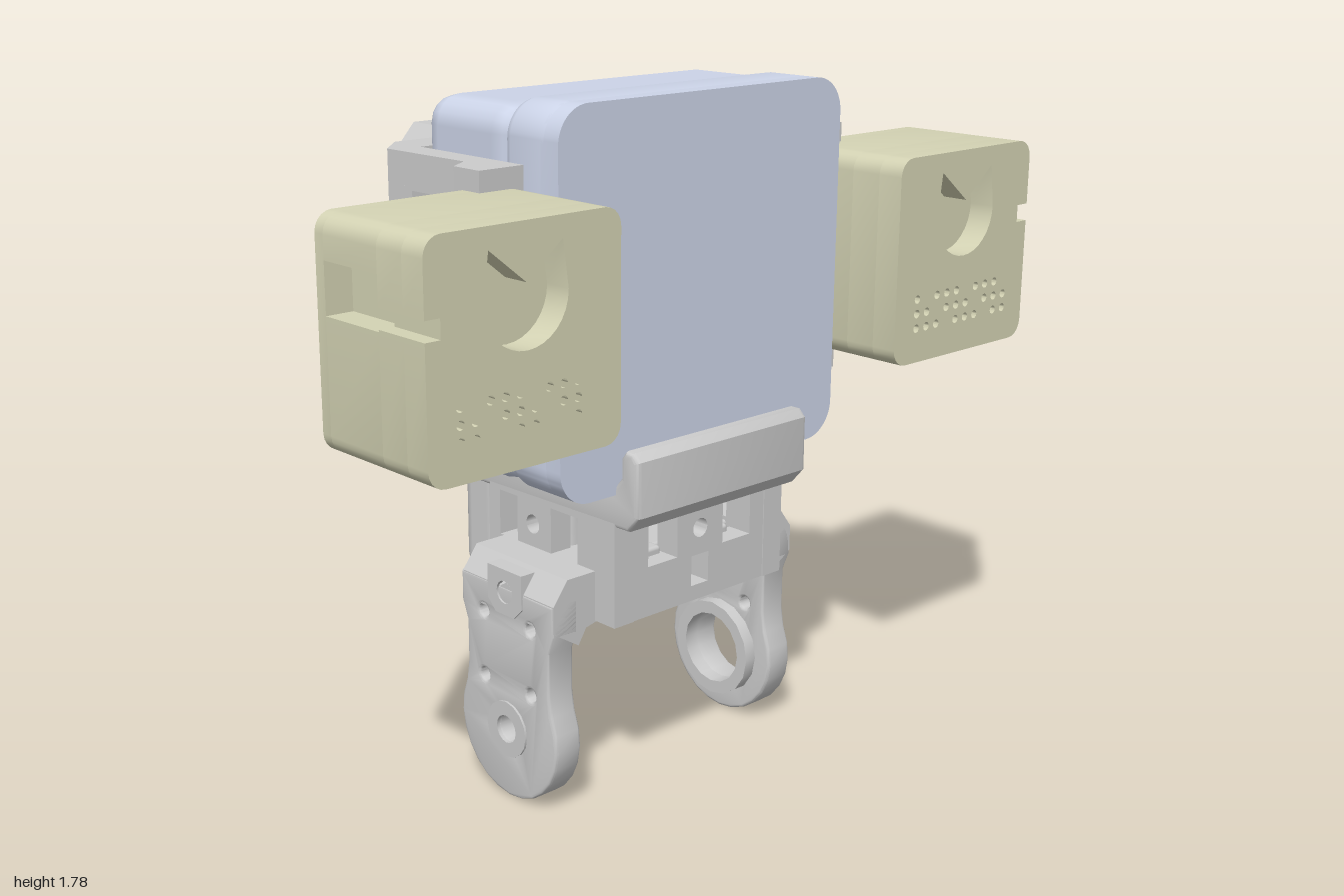
import * as THREE from 'three';
import { toCreasedNormals } from 'three/addons/utils/BufferGeometryUtils.js';
import { RoundedBoxGeometry } from 'three/addons/geometries/RoundedBoxGeometry.js';

const grey = new THREE.MeshStandardMaterial({ color: 0xcccccc });
const blue = new THREE.MeshStandardMaterial({ color: 0xccd4e8 });
const cream = new THREE.MeshStandardMaterial({ color: 0xd4d3b4 });

export function createModel() {
  const root = new THREE.Group();
  const add = (name, geo, mat = grey, parent = root) => {
    const m = new THREE.Mesh(geo, mat);
    m.name = name;
    parent.add(m);
    return m;
  };
  const group = (name) => {
    const g = new THREE.Group();
    g.name = name;
    root.add(g);
    return g;
  };
  const poly = (pts) => new THREE.Shape(pts.map((p) => new THREE.Vector2(...p)));
  const circle = (x, y, r) => new THREE.Path().absarc(x, y, r, 0, Math.PI * 2, true);
  const rect = (x0, y0, x1, y1) => poly([[x0, y0], [x1, y0], [x1, y1], [x0, y1]]);
  const cut = (shape, ...holes) => { shape.holes.push(...holes); return shape; };
  const roundRect = (x0, y0, x1, y1, r) => {
    const s = new THREE.Shape();
    s.absarc(x1 - r, y0 + r, r, -Math.PI / 2, 0);
    s.absarc(x1 - r, y1 - r, r, 0, Math.PI / 2);
    s.absarc(x0 + r, y1 - r, r, Math.PI / 2, Math.PI);
    s.absarc(x0 + r, y0 + r, r, Math.PI, Math.PI * 1.5);
    return s;
  };
  // Slabs: a shape pushed along one axis between two positions, with optional bevel
  const slabZ = (shape, z0, z1, b = 0) => {
    const g = new THREE.ExtrudeGeometry(shape, {
      depth: z1 - z0 - 2 * b, curveSegments: 8, bevelEnabled: b > 0,
      bevelSize: b, bevelOffset: -b, bevelThickness: b, bevelSegments: 3,
    });
    return toCreasedNormals(g.translate(0, 0, z0 + b), 0.6);
  };
  // shape in (-z, y)
  const slabX = (shape, x0, x1, b) => slabZ(shape, x0, x1, b).rotateY(Math.PI / 2);
  // shape in (x, z)
  const slabY = (shape, y0, y1, b) => slabZ(shape, -y1, -y0, b).rotateX(Math.PI / 2);
  const box = (x0, x1, y0, y1, z0, z1, r = 0.01) =>
    new RoundedBoxGeometry(x1 - x0, y1 - y0, z1 - z0, 2, r)
      .translate((x0 + x1) / 2, (y0 + y1) / 2, (z0 + z1) / 2);

  // Central housing in two halves
  const housing = group('housing');
  add('housingRear', box(-0.15, 0.19, 0.855, 1.765, -0.465, 0.465, 0.07), blue, housing);
  add('housingFront', slabX(roundRect(-0.47, 0.845, 0.47, 1.78, 0.09), 0.165, 0.34, 0.03), blue, housing);
  add('housingFace', slabX(roundRect(-0.47, 0.845, 0.47, 1.78, 0.09), 0.3, 0.36), blue, housing);

  // Cage around the housing: two full hoops, a solid back and side bars
  const cage = group('cage');
  const half = [[0.25, 0.478], [0.25, 0.605], [0.16, 0.605], [0.12, 0.545], [-0.16, 0.555],
    [-0.24, 0.475], [-0.24, 0.35], [-0.33, 0.27]];
  const mirrored = (pts) => [...pts, ...pts.map(([x, z]) => [x, -z]).reverse()];
  const hoop = poly([...mirrored(half), [-0.13, -0.478], [-0.13, 0.478]]);
  add('cageTop', slabY(hoop, 1.55, 1.64), grey, cage);
  add('cageBottom', slabY(hoop, 0.98, 1.07), grey, cage);
  const back = poly([...mirrored([[-0.07, 0.478], [-0.07, 0.552], ...half.slice(4)]),
    [-0.13, -0.478], [-0.13, 0.478]]);
  add('cageBack', slabY(back, 1.06, 1.56), grey, cage);
  for (const s of [-1, 1]) {
    const z0 = s > 0 ? 0.478 : -0.548;
    add('cageSideBar', box(0.09, 0.15, 1.06, 1.56, z0, z0 + 0.07), grey, cage);
  }

  // Back pack with two sockets and three tabs
  const pack = group('backPack');
  const packShape = () => poly([[-0.2, 0.93], [0.2, 0.93], [0.225, 1.1], [0.265, 1.24],
    [0.265, 1.59], [0.22, 1.64], [-0.22, 1.64], [-0.265, 1.59], [-0.265, 1.24], [-0.225, 1.1]]);
  add('packBody', slabX(packShape(), -0.46, -0.32), grey, pack);
  const sockets = [-0.14, 0.14].map((z) => roundRect(z - 0.045, 1.12, z + 0.045, 1.21, 0.015));
  add('packFace', slabX(cut(packShape(), ...sockets), -0.505, -0.455), grey, pack);
  for (const z of [-0.17, -0.005, 0.165]) {
    add('packTab', box(-0.57, -0.49, 1.29, 1.52, z - 0.055, z + 0.055, 0.006), grey, pack);
  }

  // Side pods; s is the side along z, u = -z
  for (const s of [-1, 1]) {
    const pod = group(s > 0 ? 'frontPod' : 'rearPod');
    const c = -s * 0.735;
    const outline = (y0, y1, depth) => {
      const w = 0.265, r = 0.045, e = -s;
      const pts = [];
      const corner = (sx, yc, a0) => {
        for (let i = 0; i <= 5; i++) {
          const a = a0 + (i / 5) * (Math.PI / 2);
          pts.push([c + sx * (w - r) * e + e * r * Math.cos(a), yc + r * Math.sin(a)]);
        }
      };
      corner(1, 1.06 + r, -Math.PI / 2);
      if (depth) {
        for (const [d, y] of [[0, y0], [depth, y0], [depth, y1], [0, y1]]) pts.push([c + e * (w - d), y]);
      }
      corner(1, 1.59 - r, 0);
      corner(-1, 1.59 - r, Math.PI / 2);
      corner(-1, 1.06 + r, Math.PI);
      return poly(pts);
    };
    add('podBack', slabX(outline(), 0.19, 0.22), cream, pod);
    add('podBody', slabX(outline(1.37, 1.49, 0.07), 0.22, 0.41), cream, pod);
    add('podMiddle', slabX(outline(1.375, 1.42, 0.04), 0.41, 0.495), cream, pod);
    // Face with a U-shaped recess and rows of small holes
    const u = new THREE.Path();
    u.moveTo(c - 0.1, 1.54);
    u.lineTo(c - 0.115, 1.43);
    u.absarc(c, 1.43, 0.115, Math.PI, Math.PI * 2, false);
    u.lineTo(c + 0.1, 1.54);
    u.lineTo(c, 1.46);
    const holes = [u];
    for (let i = 0; i < 10; i++) {
      for (let j = 0; j < 3; j++) {
        if ((i + j) % 4 !== 3) holes.push(circle(c - 0.18 + i * 0.04, 1.15 + j * 0.038, 0.011));
      }
    }
    add('podFace', slabX(cut(outline(1.375, 1.42, 0.04), ...holes), 0.495, 0.565), cream, pod);
    // Lug joining the pod to the cage
    const lug = poly([[0.53, 1.2], [0.62, 1.25], [0.77, 1.25], [0.8, 1.28], [0.8, 1.36],
      [0.77, 1.39], [0.62, 1.39], [0.53, 1.45]].map(([z, y]) => [-s * z, y]));
    add('podLug', slabX(cut(lug, circle(-s * 0.72, 1.32, 0.035)), 0.1, 0.195), grey, pod);
  }

  // Cradle: deck with an upturned front lip, rear columns with fingers
  const cradle = group('cradle');
  const deck = poly([[-0.18, 0.75], [0.4, 0.76], [0.435, 0.8], [0.435, 0.94], [0.415, 0.96],
    [0.39, 0.96], [0.375, 0.94], [0.375, 0.89], [0.34, 0.85], [-0.18, 0.85]]);
  add('deck', slabZ(deck, -0.295, 0.295, 0.012), grey, cradle);
  for (const z of [-0.2, 0.2]) {
    add('rearColumn', box(-0.25, -0.1, 0.49, 0.84, z - 0.09, z + 0.09, 0.045), grey, cradle);
    add('rearFinger', box(-0.205, -0.15, 0.78, 0.95, z - 0.08, z + 0.08, 0.025), grey, cradle);
  }
  // Hollow box under the deck with openings in its walls
  const wall = () => cut(rect(-0.12, 0.5, 0.355, 0.78), circle(0.05, 0.69, 0.025),
    rect(-0.08, 0.63, -0.01, 0.75), rect(0.12, 0.63, 0.22, 0.75));
  const endWall = () => cut(rect(-0.29, 0.5, 0.29, 0.78), circle(0, 0.69, 0.025),
    rect(-0.18, 0.63, -0.08, 0.75), rect(0.08, 0.63, 0.18, 0.75), rect(-0.03, 0.54, 0.03, 0.62));
  for (const [z0, z1] of [[-0.295, -0.23], [0.23, 0.295]]) add('sideWall', slabZ(wall(), z0, z1), grey, cradle);
  for (const [x0, x1] of [[-0.13, -0.08], [0.28, 0.352]]) add('endWall', slabX(endWall(), x0, x1), grey, cradle);
  for (const z of [-0.12, 0.12]) {
    add('innerRib', box(-0.1, 0.3, 0.53, 0.65, z - 0.035, z + 0.035), grey, cradle);
    add('innerPost', new THREE.CylinderGeometry(0.04, 0.05, 0.25, 12).translate(0.05, 0.65, z * 1.5), grey, cradle);
  }
  add('innerFloor', box(-0.03, 0.22, 0.56, 0.62, -0.25, 0.25), grey, cradle);

  // Fork legs: shoulder, plate with bores, and bearing boss
  for (const s of [-1, 1]) {
    const leg = group(s > 0 ? 'frontLeg' : 'rearLeg');
    const cx = s > 0 ? 0.107 : 0.09, cy = 0.19, R = 0.187;
    const bore = s > 0 ? 0.036 : 0.1, boss = s > 0 ? 0.085 : 0.135;
    const plate = new THREE.Shape();
    plate.absarc(cx, cy, R, Math.PI * 0.85, Math.PI * 2.15);
    for (const [x, y] of [[0.158, 0.33], [0.158, 0.44], [0.178, 0.49], [0.178, 0.57],
      [-0.178, 0.57], [-0.178, 0.49], [-0.158, 0.44], [-0.158, 0.33]]) plate.lineTo(cx + x, y);
    cut(plate, circle(cx, cy, bore));
    for (const x of [-0.09, 0.09]) {
      for (const y of [s > 0 ? 0.31 : 0.34, 0.485]) plate.holes.push(circle(cx + x, y, 0.018));
    }
    const span = (a, b) => (s > 0 ? [a, b] : [-b, -a]);
    add('legPlate', slabZ(plate, ...span(0.35, 0.432), 0.008), grey, leg);
    const ring = (r, hole) => cut(new THREE.Shape().absarc(cx, cy, r, 0, Math.PI * 2), circle(cx, cy, hole));
    add('bearingBoss', slabZ(ring(boss, bore), ...span(0.315, 0.36)), grey, leg);
    if (s > 0) add('hubRing', slabZ(ring(0.075, 0.037), 0.425, 0.438), grey, leg);
    const shoulder = poly([[0.28, 0.5], [0.325, 0.49], [0.35, 0.45], [0.43, 0.5], [0.43, 0.57],
      [0.385, 0.63], [0.28, 0.63]].map(([z, y]) => [-s * z, y]));
    add('shoulder', slabX(shoulder, cx - 0.172, cx + 0.178), grey, leg);
    const tab = poly([[-0.065, 0.53], [-0.035, 0.5], [0.035, 0.5], [0.065, 0.53],
      [0.065, 0.62], [-0.065, 0.62]].map(([x, y]) => [cx + x, y]));
    add('screwTab', slabZ(cut(tab, circle(cx, 0.56, 0.03)), ...span(0.37, 0.437)), grey, leg);
    add('screw', new THREE.CylinderGeometry(0.024, 0.024, 0.06, 6).rotateX(Math.PI / 2)
      .translate(cx, 0.56, s * 0.4), grey, leg);
  }
  return root;
}
